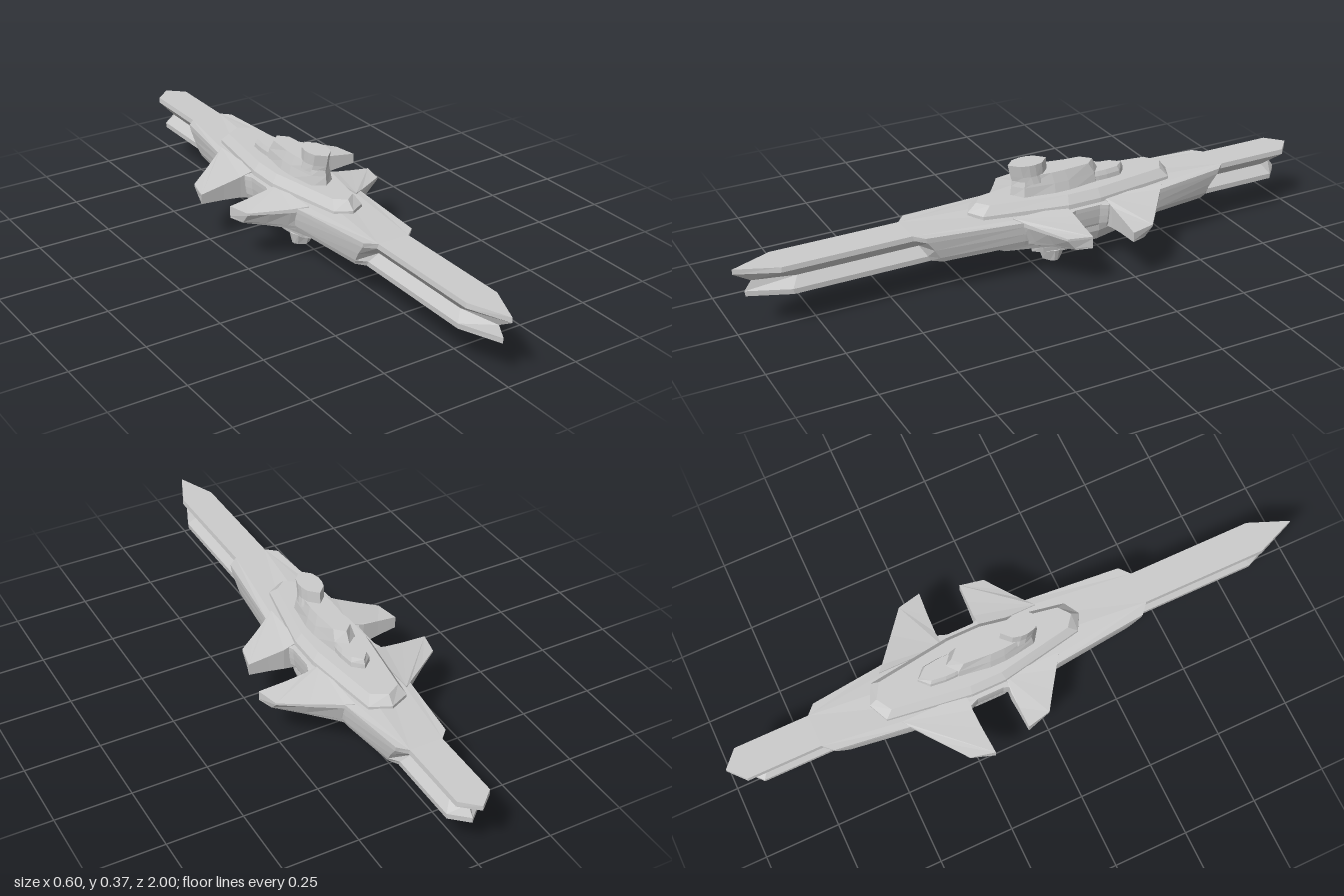
import * as THREE from 'three';

const material = new THREE.MeshStandardMaterial({ color: 0xcccccc, flatShading: true });
const MID = 0.175;

// Height thins out towards the wing tips
function taperY(y, x) {
  const t = Math.max(0, Math.abs(x) - 0.09) / 0.21;
  return MID + (y - MID) * (1 - 0.67 * Math.pow(t, 0.7));
}

// Skin a stack of loops (bottom to top, counter-clockwise from above) and cap both ends
function stack(name, loops) {
  const pos = [];
  const n = loops[0].length;
  const tri = (a, b, c) => pos.push(...a, ...b, ...c);
  for (let l = 0; l < loops.length - 1; l++) {
    const a = loops[l], b = loops[l + 1];
    for (let i = 0; i < n; i++) {
      const j = (i + 1) % n;
      tri(a[i], a[j], b[j]);
      tri(a[i], b[j], b[i]);
    }
  }
  const cap = (loop, up) => {
    const flat = loop.map(([x, , z]) => new THREE.Vector2(x, -z));
    for (const [i, j, k] of THREE.ShapeUtils.triangulateShape(flat, [])) {
      const ccw = THREE.ShapeUtils.area([flat[i], flat[j], flat[k]]) > 0;
      if (ccw === up) tri(loop[i], loop[j], loop[k]);
      else tri(loop[i], loop[k], loop[j]);
    }
  };
  cap(loops[0], false);
  cap(loops[loops.length - 1], true);
  const geometry = new THREE.BufferGeometry();
  geometry.setAttribute('position', new THREE.Float32BufferAttribute(pos, 3));
  geometry.computeVertexNormals();
  const mesh = new THREE.Mesh(geometry, material);
  mesh.name = name;
  return mesh;
}

// Half outline [x, z] from bow to stern, mirrored into a full loop at height y
function loopAt(y, half, bend = false) {
  const other = half.slice(1, -1).reverse().map(([x, z]) => [-x, z]);
  return [...half, ...other].map(([x, z]) => [x, bend ? taperY(y, x) : y, z]);
}

// Hull outline: prong half width, bow and stern tips, shoulder setback, side inset
function hullHalf(prong, bow, stern, step, inset) {
  return [
    [0, bow], [prong, bow - 0.135], [prong, 0.44 - step], [0.09 - inset, 0.41 - step],
    [0.122 - inset, 0.08], [0.13 - inset, -0.075], [0.12 - inset, -0.1],
    [0.12 - inset, -0.19], [0.13 - inset, -0.215], [0.115 - inset, -0.42],
    [0.085 - inset, -0.67 + step], [prong, -0.7 + step], [prong, stern + 0.05], [0, stern],
  ];
}

// Pointed plan shape: bow and stern tips, end widths, and broad middle
function plate(bow, stern, bowW, midW, sternW, blunt = 0.03) {
  const length = bow - stern;
  return [
    [0, bow], [bowW, bow - blunt], [midW, bow - length * 0.42],
    [midW, bow - length * 0.58], [sternW, stern + blunt], [0, stern],
  ];
}

// Straight or bevelled tier from [y, plate arguments] rows
const tier = (name, rows) => stack(name, rows.map(([y, ...p]) => loopAt(y, plate(...p))));

// Wing: outer edge lists run root to tip; the outline narrows towards the bottom
function wing(name, frontEdge, backEdge, frontSet, backSet, side) {
  const loop = (y, k) => {
    const pts = [
      ...frontEdge.map(([x, z]) => [x, z - frontSet * k]),
      ...backEdge.slice().reverse().map(([x, z]) => [x, z + backSet * k]),
    ].map(([x, z]) => [side * x, taperY(y, x), z]);
    return side > 0 ? pts : pts.reverse();
  };
  return stack(name, [loop(0.125, 1), loop(0.14, 0.8), loop(0.208, 0), loop(0.225, 0)]);
}

export function createModel() {
  const group = new THREE.Group();

  // Long hull with a V groove running between the upper and lower prongs
  group.add(stack('hull', [
    loopAt(0.125, hullHalf(0.055, 0.965, -0.955, 0.06, 0.012), true),
    loopAt(0.143, hullHalf(0.056, 0.968, -0.955, 0.05, 0.006), true),
    loopAt(0.175, hullHalf(0.032, 0.945, -0.93, 0.03, 0.002), true),
    loopAt(0.208, hullHalf(0.057, 1, -1, 0.005, 0), true),
    loopAt(0.225, hullHalf(0.055, 1, -1, 0, 0), true),
  ]));

  // Two pairs of swept wings with a notch between them
  for (const [side, label] of [[1, 'left'], [-1, 'right']]) {
    group.add(wing(label + 'FrontWing',
      [[0.09, 0.11], [0.135, 0.078], [0.19, 0.04], [0.25, 0]],
      [[0.09, -0.08], [0.145, -0.085], [0.2, -0.082], [0.267, -0.08]], 0.03, 0, side));
    group.add(wing(label + 'RearWing',
      [[0.09, -0.22], [0.145, -0.22], [0.21, -0.217], [0.298, -0.21]],
      [[0.09, -0.44], [0.115, -0.42], [0.2, -0.353], [0.28, -0.29]], 0, 0.03, side));
  }

  // Upper superstructure
  group.add(tier('upperDeck', [
    [0.2, 0.225, -0.51, 0.055, 0.108, 0.068],
    [0.232, 0.225, -0.51, 0.052, 0.104, 0.066],
    [0.26, 0.195, -0.485, 0.038, 0.085, 0.05],
  ]));
  group.add(tier('towerBase', [
    [0.25, 0.075, -0.25, 0.042, 0.058, 0.042],
    [0.29, 0.07, -0.245, 0.036, 0.048, 0.036],
    [0.325, 0.065, -0.225, 0.03, 0.037, 0.03],
  ]));
  group.add(tier('rearPlatform', [
    [0.25, -0.15, -0.345, 0.035, 0.04, 0.034],
    [0.275, -0.15, -0.342, 0.034, 0.038, 0.032],
    [0.29, -0.15, -0.335, 0.028, 0.032, 0.026],
  ]));
  group.add(tier('bridge', [
    [0.3, 0.065, -0.065, 0.034, 0.042, 0.034],
    [0.325, 0.072, -0.058, 0.03, 0.037, 0.03],
    [0.365, 0.082, -0.055, 0.03, 0.037, 0.03],
  ]));

  // Lower superstructure
  group.add(tier('lowerDeck', [
    [0.085, 0.145, -0.435, 0.04, 0.1, 0.045],
    [0.12, 0.165, -0.45, 0.05, 0.112, 0.055],
    [0.14, 0.165, -0.45, 0.05, 0.112, 0.055],
  ]));
  group.add(tier('keelPod', [
    [0.055, 0, -0.285, 0.03, 0.046, 0.028],
    [0.095, 0.005, -0.285, 0.032, 0.047, 0.03],
  ]));
  group.add(tier('keelPlate', [
    [0.036, -0.005, -0.245, 0.026, 0.041, 0.026],
    [0.06, 0, -0.25, 0.03, 0.046, 0.03],
  ]));
  group.add(tier('keelFin', [
    [0, -0.045, -0.11, 0.024, 0.032, 0.024, 0.015],
    [0.04, -0.03, -0.125, 0.03, 0.041, 0.03, 0.015],
  ]));

  return group;
}
